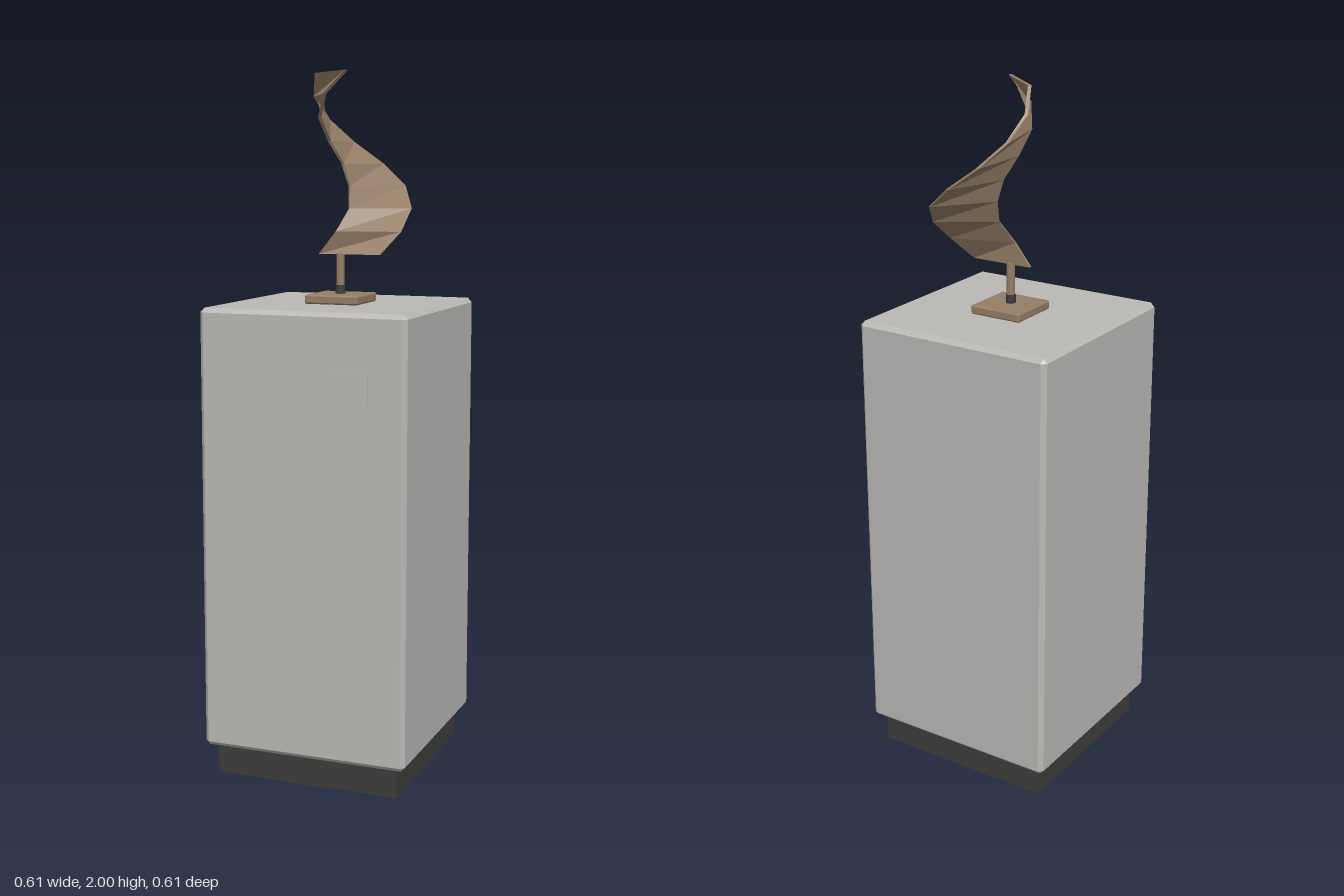
import * as THREE from 'three';
import { ConvexGeometry } from 'three/addons/geometries/ConvexGeometry.js';

const stone = new THREE.MeshStandardMaterial({ color: 0xb9b8b5 });
stone.name = 'pale grey';
const black = new THREE.MeshStandardMaterial({ color: 0x3c3c3b, side: THREE.DoubleSide });
black.name = 'near black';
const bronze = new THREE.MeshStandardMaterial({ color: 0x947d66, flatShading: true });
bronze.name = 'bronze brown';

function add(group, name, geometry, material, x, y, z) {
  const mesh = new THREE.Mesh(geometry, material);
  mesh.name = name;
  mesh.position.set(x, y, z);
  group.add(mesh);
  return mesh;
}

// Box with every edge cut at 45 degrees by c
function chamferBox(w, h, d, c) {
  const points = [];
  for (const sx of [-1, 1]) for (const sy of [-1, 1]) for (const sz of [-1, 1]) {
    for (let full = 0; full < 3; full++) {
      const size = [w, h, d].map((s, i) => s / 2 - (i === full ? 0 : c));
      points.push(new THREE.Vector3(sx * size[0], sy * size[1], sz * size[2]));
    }
  }
  return new ConvexGeometry(points);
}

// Rising strip: a thin box whose cross-sections turn from station to station
function twistedStrip(bottom, top, thickness) {
  const outer = [[0.12, 0], [0.163, -0.057], [0.165, -0.139], [0.117, -0.218], [0.033, -0.255],
    [-0.054, -0.239], [-0.11, -0.184], [-0.124, -0.116], [-0.098, -0.06]];
  const inner = [[-0.065, 0], [-0.015, 0], [0.01, -0.041], [0, -0.068], [-0.023, -0.075],
    [-0.055, -0.052], [-0.063, 0], [-0.03, 0.046], [0.042, 0.061]];
  const steps = outer.length - 1;
  const geometry = new THREE.BoxGeometry(1, 1, 1, 1, steps, 1);
  const p = geometry.attributes.position;
  for (let i = 0; i < p.count; i++) {
    const t = p.getY(i) + 0.5;
    const k = Math.round(t * steps);
    const [ox, oz] = outer[k], [ix, iz] = inner[k];
    const length = Math.hypot(ox - ix, oz - iz);
    const [x, z] = p.getX(i) > 0 ? [ox, oz] : [ix, iz];
    const offset = p.getZ(i) * thickness / length;
    p.setXYZ(i, x - (oz - iz) * offset, bottom + t * (top - bottom), z + (ox - ix) * offset);
  }
  geometry.computeVertexNormals();
  return geometry;
}

export function createModel() {
  const model = new THREE.Group();
  model.name = 'sculptureOnPlinth';

  // Recessed base, hollow underneath
  const base = new THREE.Group();
  base.name = 'recessedBase';
  model.add(base);
  const half = 0.2725, height = 0.088;
  for (let i = 0; i < 4; i++) {
    const a = i * Math.PI / 2;
    const wall = add(base, 'baseWall', new THREE.PlaneGeometry(2 * half, height), black,
      Math.sin(a) * half, height / 2, Math.cos(a) * half - 0.002);
    wall.rotation.y = a;
  }
  const ceiling = add(base, 'baseCeiling', new THREE.PlaneGeometry(2 * half, 2 * half), black, 0, 0.085, -0.002);
  ceiling.rotation.x = Math.PI / 2;

  // Plinth and its label plate
  add(model, 'plinth', chamferBox(0.607, 1.264, 0.607, 0.0125), stone, 0, 0.72, -0.002);
  add(model, 'labelPlate', new THREE.BoxGeometry(0.122, 0.08, 0.004), stone, 0.134, 1.15, 0.3025);

  // Sculpture: foot, rod and twisted strip
  add(model, 'foot', chamferBox(0.16, 0.026, 0.16, 0.004), bronze, 0, 1.365, -0.002);
  add(model, 'rodCollar', new THREE.CylinderGeometry(0.014, 0.014, 0.025, 12), black, 0, 1.39, 0);
  add(model, 'rod', new THREE.CylinderGeometry(0.012, 0.012, 0.115, 12), bronze, 0, 1.435, 0);
  add(model, 'twistedStrip', twistedStrip(1.49, 2, 0.01), bronze, 0, 0, 0);

  return model;
}
